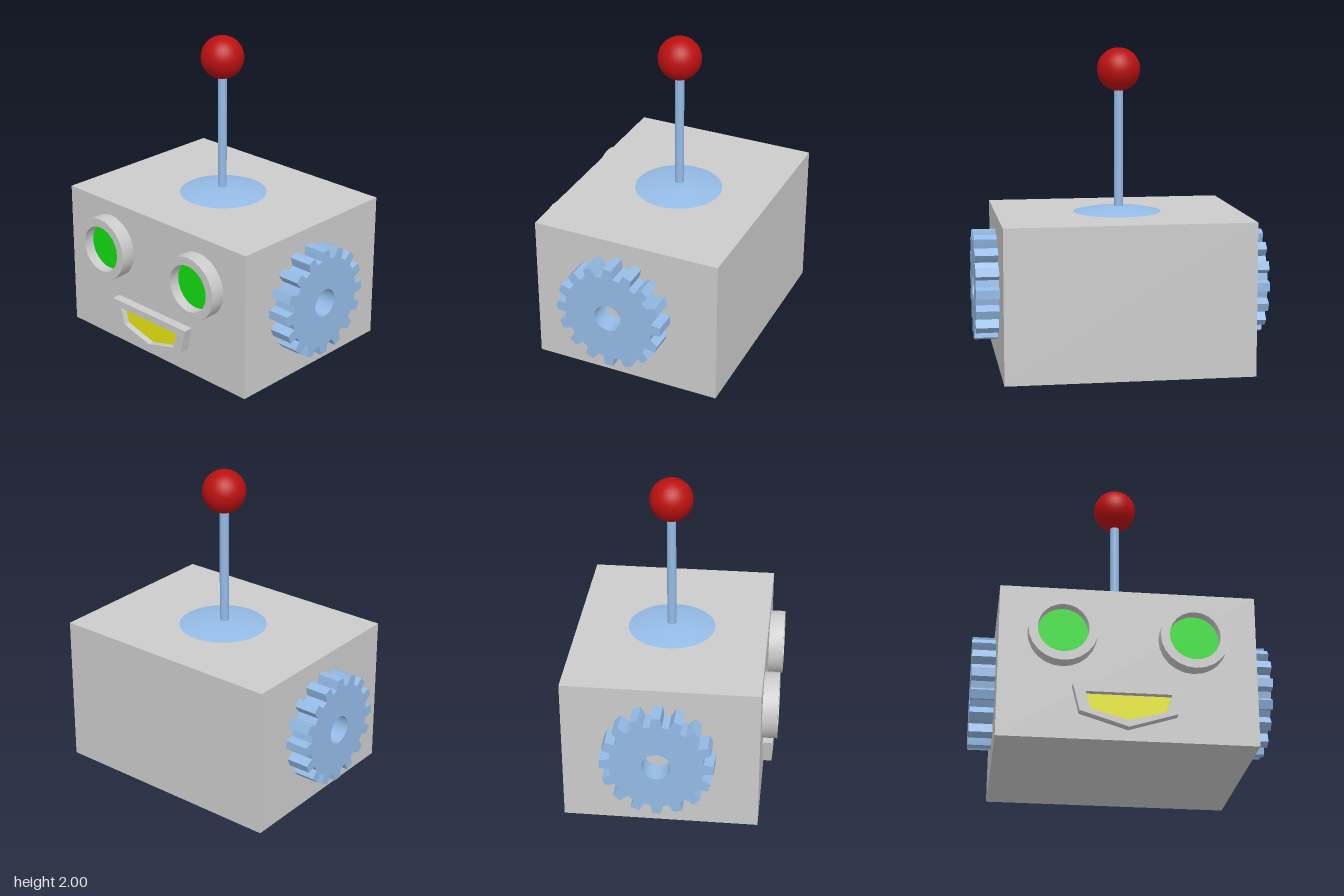
import * as THREE from 'three';
import { toCreasedNormals } from 'three/addons/utils/BufferGeometryUtils.js';

const paint = (color) => new THREE.MeshStandardMaterial({ color });
const grey = paint(0xcccccc);
const blue = paint(0x94bbe6);
const red = paint(0xbb1010);
const green = paint(0x11dd11);
const yellow = paint(0xe6e611);

const FRONT = 0.565; // front plane of the head

function add(parent, name, geometry, material, x = 0, y = 0, z = 0) {
  const mesh = new THREE.Mesh(geometry, material);
  mesh.name = name;
  mesh.position.set(x, y, z);
  parent.add(mesh);
  return mesh;
}

const polygon = (points) => points.map(([x, y]) => new THREE.Vector2(x, y));

function extrude(shape, depth, curveSegments = 12) {
  const geometry = new THREE.ExtrudeGeometry(shape, { depth, curveSegments, bevelEnabled: false });
  return toCreasedNormals(geometry, 0.4);
}

// Ring with a round opening, extruded along +z
function ringGeometry(outer, inner, depth) {
  const shape = new THREE.Shape().absarc(0, 0, outer, 0, Math.PI * 2);
  shape.holes.push(new THREE.Path().absarc(0, 0, inner, 0, Math.PI * 2, true));
  return extrude(shape, depth);
}

// Spur gear with tapered teeth and an axle hole, extruded along +z
function gearGeometry(teeth, root, tip, hole, depth) {
  const points = [];
  const pitch = (Math.PI * 2) / teeth;
  const tooth = [[root, -0.31], [tip - 0.025, -0.25], [tip, -0.2], [tip, 0.2], [tip - 0.025, 0.25], [root, 0.31]];
  for (let i = 0; i < teeth; i++) {
    for (const [radius, offset] of tooth) {
      const a = (i + offset) * pitch;
      points.push(new THREE.Vector2(Math.cos(a) * radius, Math.sin(a) * radius));
    }
  }
  const shape = new THREE.Shape(points);
  shape.holes.push(new THREE.Path().absarc(0, 0, hole, 0, Math.PI * 2, true));
  return extrude(shape, depth);
}

export function createModel() {
  const model = new THREE.Group();
  model.name = 'robotHead';

  // Box head
  add(model, 'head', new THREE.BoxGeometry(1.55, 0.96, 1.225), grey, 0, 0.48, -0.0475);

  // Ear gears on both sides
  const gear = gearGeometry(16, 0.293, 0.352, 0.09, 0.15);
  add(model, 'leftEarGear', gear, blue, 0.77, 0.5, 0).rotation.y = Math.PI / 2;
  add(model, 'rightEarGear', gear, blue, -0.77, 0.505, -0.055).rotation.y = -Math.PI / 2;

  // Eyes: raised rim around a recessed disc
  const rim = ringGeometry(0.208, 0.153, 0.1);
  const lens = new THREE.CylinderGeometry(0.155, 0.155, 0.03, 24).rotateX(Math.PI / 2);
  for (const [name, x, y] of [['leftEye', 0.388, 0.648], ['rightEye', -0.397, 0.658]]) {
    const eye = new THREE.Group();
    eye.name = name;
    eye.position.set(x, y, FRONT);
    add(eye, 'eyeRim', rim, grey, 0, 0, -0.005);
    add(eye, 'eyeLens', lens, green, 0, 0, 0.01);
    model.add(eye);
  }

  // Mouth: raised frame around a recessed panel
  const lips = polygon([[-0.335, 0.32], [-0.295, 0.155], [-0.005, 0.065], [0.285, 0.155], [0.325, 0.32]]);
  const opening = polygon([[-0.26, 0.275], [-0.228, 0.165], [-0.005, 0.107], [0.215, 0.165], [0.25, 0.275]]);
  const frame = new THREE.Shape(lips);
  frame.holes.push(new THREE.Path(opening));
  const mouth = new THREE.Group();
  mouth.name = 'mouth';
  mouth.position.z = FRONT;
  add(mouth, 'mouthFrame', extrude(frame, 0.065), grey, 0, 0, -0.005);
  add(mouth, 'mouthPanel', extrude(new THREE.Shape(opening), 0.03), yellow, 0, 0, -0.01);
  model.add(mouth);

  // Antenna: shallow dome, rod and ball
  const antenna = new THREE.Group();
  antenna.name = 'antenna';
  antenna.position.set(-0.01, 0, -0.055);
  const domeRadius = 1.14;
  const dome = new THREE.SphereGeometry(domeRadius, 40, 8, 0, Math.PI * 2, 0, Math.asin(0.28 / domeRadius));
  add(antenna, 'antennaBase', dome, blue, 0.01, 0.995 - domeRadius, 0);
  add(antenna, 'antennaRod', new THREE.CylinderGeometry(0.029, 0.029, 0.8, 20), blue, 0, 1.37, 0);
  add(antenna, 'antennaBall', new THREE.SphereGeometry(0.137, 32, 20), red, 0, 1.863, 0);
  model.add(antenna);

  return model;
}
